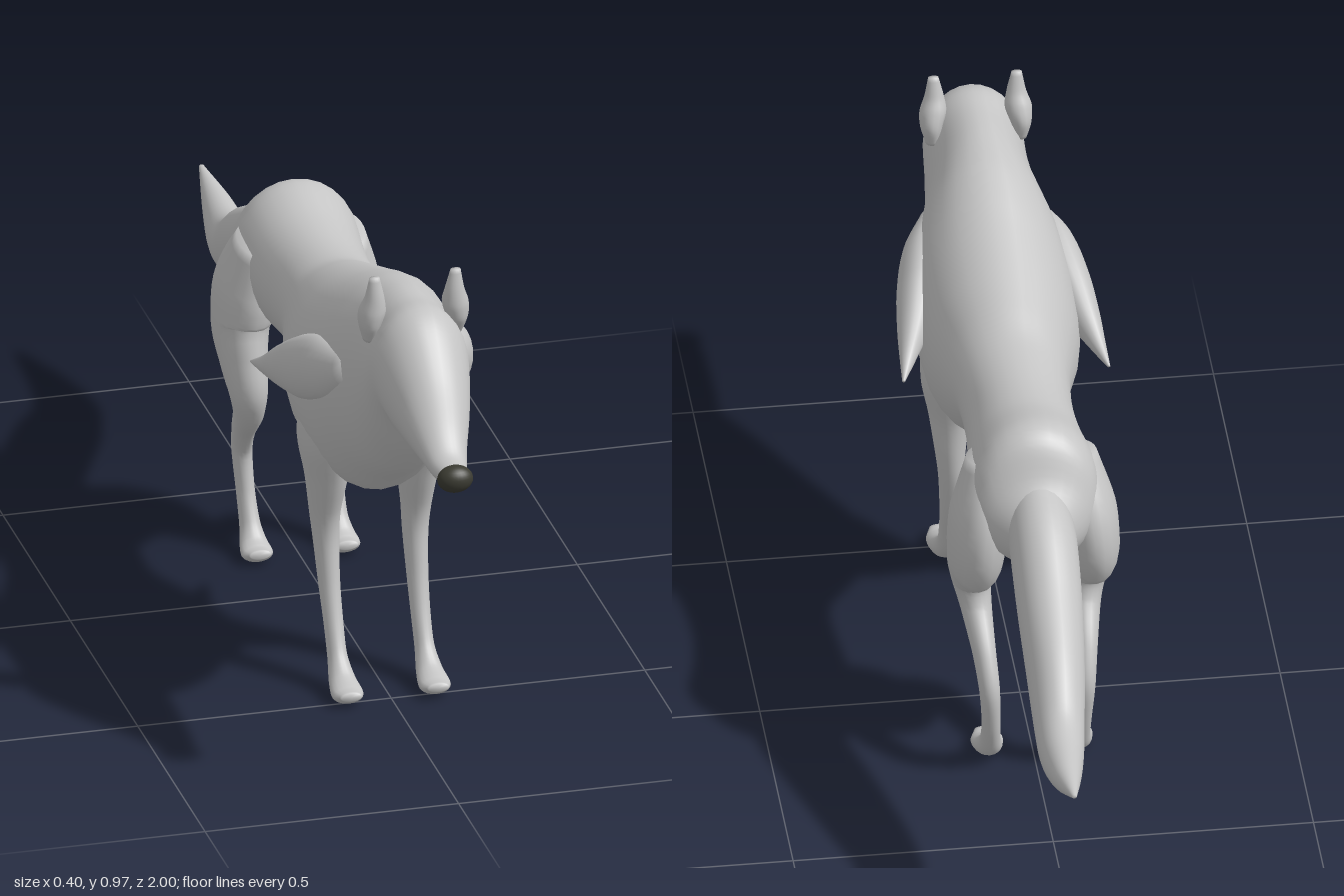
import * as THREE from 'three';

const fur = new THREE.MeshStandardMaterial({ color: 0xc4c4c4 });
fur.name = 'greyFur';
const black = new THREE.MeshStandardMaterial({ color: 0x3b3b32 });
black.name = 'noseBlack';

// Smooth skin through sections [x, y, z, half width, half depth].
// Rings face along the path, or straight back when upright is set.
function loft(name, sections, { side = 1, upright = false, steps = 5, sides = 28 } = {}) {
  const path = new THREE.CatmullRomCurve3(sections.map(s => new THREE.Vector3(s[0] * side, s[1], s[2])), false, 'catmullrom', 0.45);
  const size = new THREE.CatmullRomCurve3(sections.map(s => new THREE.Vector3(s[3], s[4], 0)), false, 'catmullrom', 0.45);
  const rings = (sections.length - 1) * steps;
  const X = new THREE.Vector3(1, 0, 0);
  const pos = [], index = [];
  for (let i = 0; i <= rings; i++) {
    const t = i / rings;
    const c = path.getPoint(t), r = size.getPoint(t);
    const dir = upright ? new THREE.Vector3(0, 0, -1) : path.getTangent(t).setX(0).normalize();
    const n = dir.cross(X);
    for (let j = 0; j < sides; j++) {
      const a = (j / sides) * Math.PI * 2;
      const u = Math.cos(a) * r.x, v = Math.sin(a) * r.y;
      pos.push(c.x + u, c.y + n.y * v, c.z + n.z * v);
      if (i < rings) {
        const k = (j + 1) % sides, p = i * sides, q = p + sides;
        index.push(p + j, p + k, q + j, p + k, q + k, q + j);
      }
    }
  }
  // end caps
  const first = path.getPoint(0), last = path.getPoint(1);
  const a = pos.length / 3, end = rings * sides;
  pos.push(first.x, first.y, first.z, last.x, last.y, last.z);
  for (let j = 0; j < sides; j++) {
    const k = (j + 1) % sides;
    index.push(a, k, j, a + 1, end + j, end + k);
  }
  const geo = new THREE.BufferGeometry();
  geo.setAttribute('position', new THREE.Float32BufferAttribute(pos, 3));
  geo.setIndex(index);
  geo.computeVertexNormals();
  const mesh = new THREE.Mesh(geo, fur);
  mesh.name = name;
  return mesh;
}

// Side profile rows [z, top, bottom, half width] turned into sections
const profile = rows => rows.map(([z, top, bottom, w]) => [0, (top + bottom) / 2, z, w, (top - bottom) / 2]);

export function createModel() {
  const model = new THREE.Group();
  model.name = 'fox';

  // Head, neck, chest, waist and rump in one skin
  model.add(loft('body', profile([
    [0.975, 0.69, 0.655, 0.024],
    [0.93, 0.702, 0.648, 0.035],
    [0.89, 0.74, 0.65, 0.046],
    [0.83, 0.82, 0.655, 0.067],
    [0.76, 0.89, 0.66, 0.086],
    [0.71, 0.915, 0.665, 0.096],
    [0.65, 0.912, 0.585, 0.1],
    [0.58, 0.908, 0.515, 0.11],
    [0.5, 0.893, 0.46, 0.135],
    [0.43, 0.87, 0.41, 0.152],
    [0.36, 0.843, 0.403, 0.156],
    [0.27, 0.81, 0.41, 0.15],
    [0.18, 0.778, 0.465, 0.128],
    [0.1, 0.75, 0.518, 0.11],
    [0, 0.742, 0.51, 0.105],
    [-0.1, 0.75, 0.5, 0.113],
    [-0.2, 0.775, 0.5, 0.122],
    [-0.25, 0.755, 0.5, 0.118],
    [-0.29, 0.69, 0.505, 0.1],
    [-0.34, 0.64, 0.53, 0.05],
  ]), { upright: true }));

  // Tail, sweeping down and curling up at the tip
  model.add(loft('tail', [
    [0, 0.61, -0.25, 0.06, 0.08],
    [0, 0.59, -0.35, 0.065, 0.077],
    [0.003, 0.53, -0.47, 0.063, 0.075],
    [0.008, 0.465, -0.6, 0.056, 0.075],
    [0.015, 0.415, -0.71, 0.048, 0.06],
    [0.02, 0.405, -0.79, 0.042, 0.05],
    [0.024, 0.425, -0.89, 0.028, 0.03],
    [0.023, 0.455, -0.995, 0.005, 0.004],
  ]));

  const nose = new THREE.Mesh(new THREE.SphereGeometry(1, 24, 16), black);
  nose.name = 'nose';
  nose.scale.set(0.035, 0.027, 0.026);
  nose.position.set(0, 0.673, 0.974);
  model.add(nose);

  // Mirrored parts
  for (const side of [1, -1]) {
    const label = side > 0 ? 'left' : 'right';

    model.add(loft(label + 'Ear', [
      [0.085, 0.835, 0.655, 0.012, 0.015],
      [0.086, 0.87, 0.66, 0.021, 0.03],
      [0.082, 0.9, 0.667, 0.026, 0.028],
      [0.079, 0.93, 0.673, 0.019, 0.018],
      [0.08, 0.972, 0.676, 0.01, 0.006],
    ], { side, sides: 16 }));

    // Fur tuft running back from the shoulder to a free point
    model.add(loft(label + 'ShoulderTuft', [
      [0.095, 0.73, 0.56, 0.025, 0.03],
      [0.123, 0.705, 0.48, 0.042, 0.06],
      [0.143, 0.67, 0.4, 0.043, 0.062],
      [0.163, 0.64, 0.32, 0.032, 0.042],
      [0.181, 0.618, 0.26, 0.017, 0.02],
      [0.197, 0.602, 0.205, 0.003, 0.003],
    ], { side, sides: 20 }));

    model.add(loft(label + 'Foreleg', [
      [0.085, 0.6, 0.365, 0.055, 0.1],
      [0.095, 0.5, 0.36, 0.05, 0.08],
      [0.09, 0.42, 0.355, 0.041, 0.055],
      [0.09, 0.34, 0.345, 0.03, 0.037],
      [0.088, 0.28, 0.347, 0.025, 0.03],
      [0.087, 0.2, 0.366, 0.021, 0.025],
      [0.086, 0.13, 0.393, 0.019, 0.021],
      [0.086, 0.07, 0.422, 0.019, 0.022],
      [0.086, 0.034, 0.458, 0.026, 0.023],
      [0.086, 0.022, 0.5, 0.031, 0.018],
      [0.086, 0.028, 0.53, 0.02, 0.008],
    ], { side, sides: 20 }));

    model.add(loft(label + 'HindLeg', [
      [0.085, 0.68, -0.17, 0.04, 0.06],
      [0.1, 0.58, -0.195, 0.058, 0.1],
      [0.11, 0.5, -0.2, 0.055, 0.1],
      [0.115, 0.44, -0.165, 0.046, 0.065],
      [0.112, 0.38, -0.143, 0.038, 0.048],
      [0.105, 0.325, -0.165, 0.03, 0.037],
      [0.098, 0.265, -0.225, 0.023, 0.031],
      [0.092, 0.2, -0.262, 0.02, 0.024],
      [0.088, 0.12, -0.252, 0.018, 0.022],
      [0.086, 0.06, -0.227, 0.02, 0.023],
      [0.086, 0.03, -0.2, 0.027, 0.022],
      [0.086, 0.021, -0.17, 0.031, 0.017],
      [0.086, 0.028, -0.145, 0.02, 0.008],
    ], { side, sides: 20 }));
  }
  return model;
}
